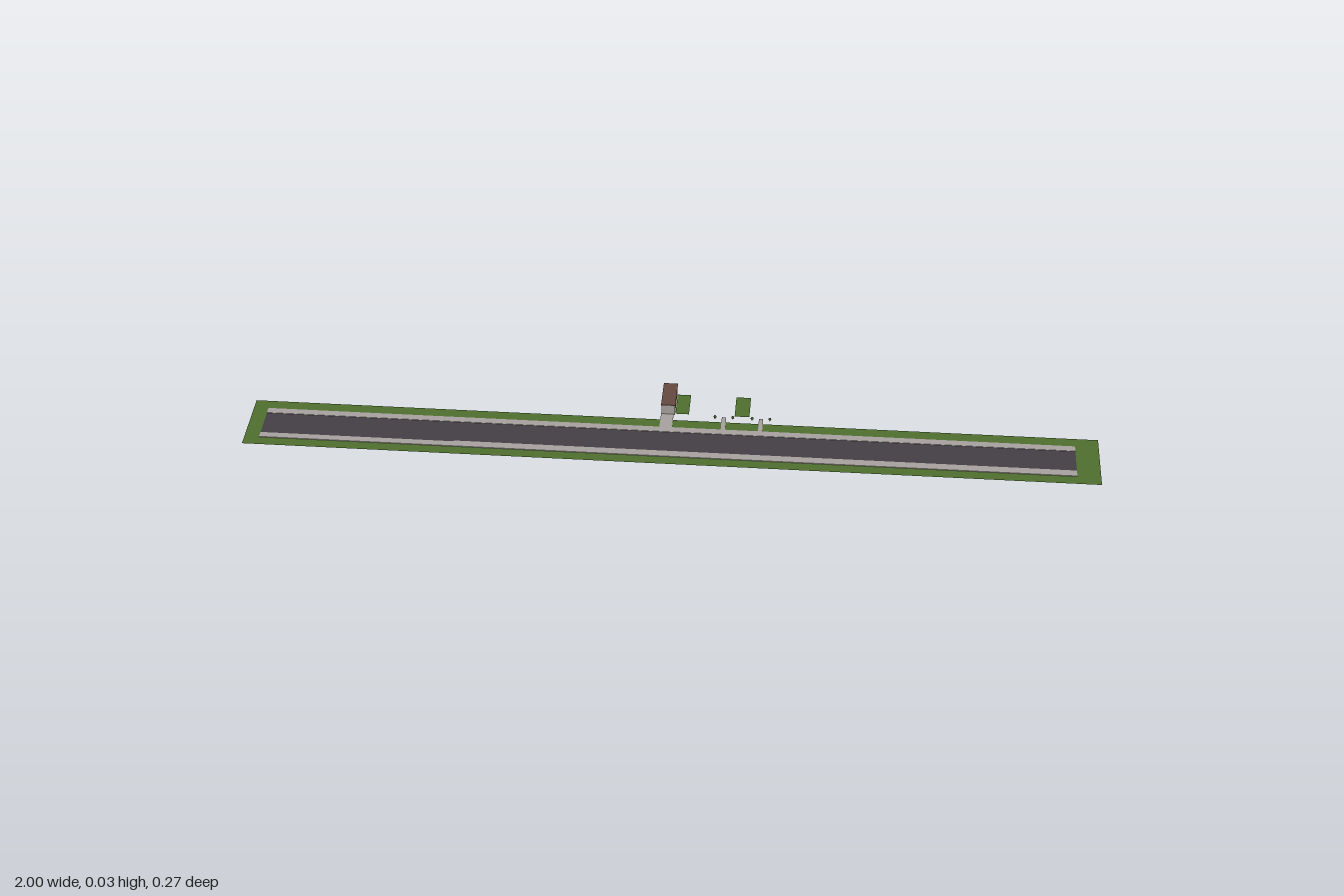
import * as THREE from 'three';

const mat = (name, color, side = THREE.FrontSide) => {
  const m = new THREE.MeshStandardMaterial({ color, side });
  m.name = name;
  return m;
};

export function createModel() {
  const model = new THREE.Group();
  model.name = 'streetScene';
  const grass = mat('grass green', 0x50702f, THREE.DoubleSide);
  const asphalt = mat('asphalt', 0x453f45);
  const paving = mat('paving grey', 0xa8a19f);
  const wall = mat('tan wall', 0xb89b58);
  const roofBrown = mat('roof brown', 0x65493f);
  const leaf = mat('shrub green', 0x3a5228);

  // Flat-sided slab given by its extents
  function slab(name, material, x0, x1, y0, y1, z0, z1, parent = model) {
    const mesh = new THREE.Mesh(new THREE.BoxGeometry(x1 - x0, y1 - y0, z1 - z0), material);
    mesh.position.set((x0 + x1) / 2, (y0 + y1) / 2, (z0 + z1) / 2);
    mesh.name = name;
    parent.add(mesh);
    return mesh;
  }

  // Paper-thin grass sheet
  function lawn(name, x0, x1, z0, z1) {
    const mesh = new THREE.Mesh(new THREE.PlaneGeometry(x1 - x0, z1 - z0).rotateX(-Math.PI / 2), grass);
    mesh.position.set((x0 + x1) / 2, 0, (z0 + z1) / 2);
    mesh.name = name;
    model.add(mesh);
  }

  // Ground and street
  lawn('ground', -1, 1, -0.03, 0.136);
  slab('road', asphalt, -0.965, 0.945, 0.0002, 0.001, 0.017, 0.093);
  slab('backSidewalk', paving, -0.965, 0.945, 0.0002, 0.002, 0, 0.018);
  slab('frontSidewalkLong', paving, -0.505, 0.945, 0.0002, 0.002, 0.09, 0.11);
  slab('frontSidewalkShort', paving, -0.965, -0.505, 0.0002, 0.002, 0.093, 0.11);

  // House with driveway
  const house = new THREE.Group();
  house.name = 'house';
  model.add(house);
  slab('driveway', paving, -0.03, 0, 0.0002, 0.0018, -0.052, 0, house);
  slab('walls', wall, -0.029, 0.003, 0, 0.027, -0.135, -0.0515, house);
  slab('frontWall', paving, -0.029, 0.003, 0, 0.027, -0.0515, -0.0505, house);
  slab('roof', roofBrown, -0.03, 0.004, 0.027, 0.0285, -0.136, -0.05, house);

  // Side lawns
  lawn('houseLawn', 0.004, 0.036, -0.13, -0.055);
  lawn('farLawn', 0.145, 0.18, -0.13, -0.055);

  // Garden paths, each with a pair of shrubs
  for (const x of [0.12, 0.208]) {
    slab('gardenPath', paving, x - 0.005, x + 0.005, 0.0002, 0.0015, -0.048, 0);
    for (const side of [-1, 1]) {
      const shrub = new THREE.Group();
      shrub.name = 'shrub';
      shrub.position.set(x + side * 0.021, 0, -0.043);
      const stem = new THREE.Mesh(new THREE.CylinderGeometry(0.001, 0.001, 0.004, 6), roofBrown);
      stem.position.y = 0.002;
      stem.name = 'stem';
      const crown = new THREE.Mesh(new THREE.SphereGeometry(0.0035, 10, 8), leaf);
      crown.position.y = 0.006;
      crown.name = 'crown';
      shrub.add(stem, crown);
      model.add(shrub);
    }
  }
  return model;
}
